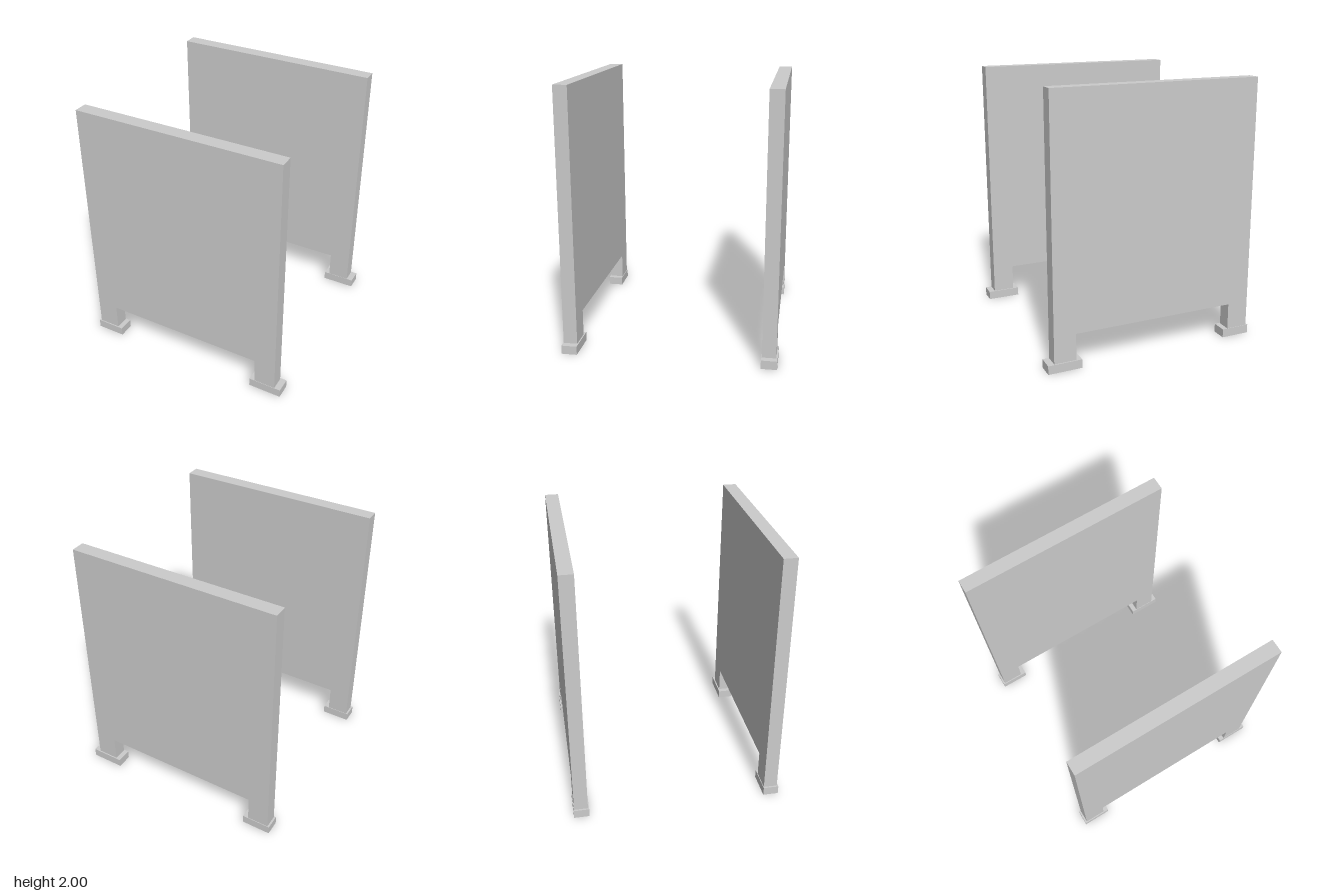
import * as THREE from 'three';

const FOOT_H = 0.066;
const PANEL_DEPTH = 0.105;
const FOOT_DEPTH = 0.118;

export function createModel() {
  const model = new THREE.Group();
  model.name = 'panelPair';
  const material = new THREE.MeshStandardMaterial({ color: 0xcccccc, flatShading: true });

  // Panel outline: a tall board with a wide notch leaving two legs
  const outline = new THREE.Shape([
    [-0.817, FOOT_H], [-0.65, FOOT_H], [-0.65, 0.267], [0.612, 0.267],
    [0.612, FOOT_H], [0.779, FOOT_H], [0.779, 2], [-0.817, 2],
  ].map(([x, y]) => new THREE.Vector2(x, y)));
  const panelGeometry = new THREE.ExtrudeGeometry(outline, { depth: PANEL_DEPTH, bevelEnabled: false });
  panelGeometry.translate(0, 0, -PANEL_DEPTH / 2);

  // Foot blocks: x range and small depth offset from the panel
  const feet = [
    { name: 'rightFoot', x0: -0.832, x1: -0.608, dz: 0.002 },
    { name: 'leftFoot', x0: 0.571, x1: 0.828, dz: -0.003 },
  ];

  for (const [name, z] of [['frontPanel', 0.743], ['backPanel', -0.743]]) {
    const side = new THREE.Group();
    side.name = name + 'Assembly';
    side.position.z = z;

    const panel = new THREE.Mesh(panelGeometry, material);
    panel.name = name;
    side.add(panel);

    for (const { name: footName, x0, x1, dz } of feet) {
      const foot = new THREE.Mesh(new THREE.BoxGeometry(x1 - x0, FOOT_H, FOOT_DEPTH), material);
      foot.name = footName;
      foot.position.set((x0 + x1) / 2, FOOT_H / 2, dz);
      side.add(foot);
    }
    model.add(side);
  }
  return model;
}
